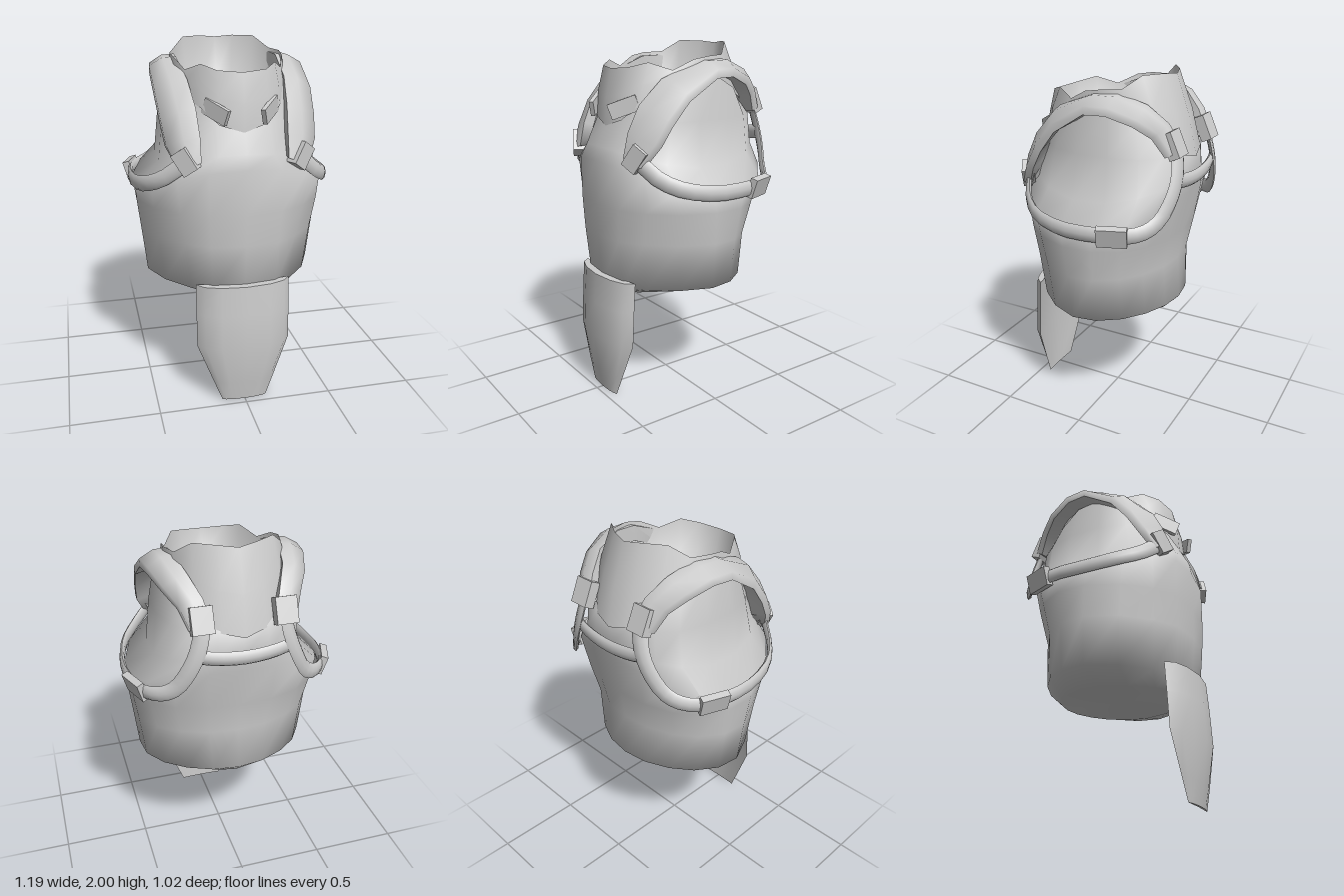
import * as THREE from 'three';
import { toCreasedNormals } from 'three/addons/utils/BufferGeometryUtils.js';

const grey = new THREE.MeshStandardMaterial({ color: 0xcccccc, side: THREE.DoubleSide });
grey.name = 'plain grey';

// Skins a list of equal-length rings; optional centre points close the ends
function loft(rings, startCap, endCap) {
  const n = rings[0].length;
  const points = rings.flat();
  const index = [];
  for (let i = 0; i < rings.length - 1; i++) {
    for (let j = 0; j < n; j++) {
      const a = i * n + j, b = i * n + (j + 1) % n;
      index.push(a, b, b + n, a, b + n, a + n);
    }
  }
  const cap = (centre, base, flip) => {
    const c = points.push(centre) - 1;
    for (let j = 0; j < n; j++) {
      const a = base + j, b = base + (j + 1) % n;
      index.push(c, ...(flip ? [b, a] : [a, b]));
    }
  };
  if (startCap) cap(startCap, 0, true);
  if (endCap) cap(endCap, (rings.length - 1) * n, false);
  const geometry = new THREE.BufferGeometry();
  geometry.setAttribute('position', new THREE.Float32BufferAttribute(points.flat(), 3));
  geometry.setIndex(index);
  return toCreasedNormals(geometry, 1.25);
}

// Completes a half ring that runs from the front centre round +x to the back centre
const mirrorRing = (half) => [
  ...half,
  ...half.slice(1, -1).reverse().map(([x, y, z]) => [-x, y, z]),
];

const mean = (ring) => [0, 1, 2].map((k) => ring.reduce((s, p) => s + p[k], 0) / ring.length);

// Flat rounded strap along a path, lying against the body
function ribbon(path, thickness, width) {
  const curve = new THREE.CatmullRomCurve3(path.map((p) => new THREE.Vector3(...p)));
  const steps = path.length * 2;
  const rings = [];
  for (let i = 0; i <= steps; i++) {
    const p = curve.getPoint(i / steps);
    const t = curve.getTangent(i / steps);
    const out = new THREE.Vector3(p.x, 0, p.z).addScaledVector(t, -(p.x * t.x + p.z * t.z)).normalize();
    const across = t.clone().cross(out);
    rings.push(Array.from({ length: 8 }, (_, j) => {
      const a = j * Math.PI / 4;
      return p.clone().addScaledVector(out, Math.cos(a) * thickness)
        .addScaledVector(across, Math.sin(a) * width).toArray();
    }));
  }
  return loft(rings);
}

export function createModel() {
  const model = new THREE.Group();
  model.name = 'vest';
  const add = (name, geometry) => {
    const mesh = new THREE.Mesh(geometry, grey);
    mesh.name = name;
    model.add(mesh);
    return mesh;
  };

  // Torso: outline blends from a rounder waist to a fuller chest
  const waist = [[0, 1], [.36, .95], [.58, .76], [.84, .44], [1, .06],
    [.97, -.28], [.81, -.58], [.58, -.8], [.3, -.95], [0, -1]];
  const chest = [[0, 1], [.37, .96], [.66, .81], [.88, .53], [1, .13],
    [1, -.3], [.88, -.65], [.67, -.87], [.34, -.98], [0, -1]];
  // [y, halfWidth, front, back, bend, tilt, blend]
  const levels = [
    [.635, .30, .39, .36, 0, -.05, 0],
    [.688, .49, .44, .405, 0, -.03, 0],
    [.95, .52, .465, .39, 0, 0, .2],
    [1.13, .542, .47, .42, 0, 0, .6],
    [1.22, .542, .47, .45, -.7, 0, 1],
    [1.35, .41, .455, .465, -.5, 0, 1],
    [1.6, .385, .38, .455, 0, 0, 1],
    [1.83, .345, .35, .41, 1.2, 0, .6],
  ];
  const torsoRings = levels.map(([y, w, front, back, bend, tilt, blend]) => mirrorRing(
    chest.map(([cx, cz], i) => {
      const x = THREE.MathUtils.lerp(waist[i][0], cx, blend) * w;
      const pz = THREE.MathUtils.lerp(waist[i][1], cz, blend);
      const z = pz * (pz > 0 ? front : back);
      return [x, y - bend * z * z + tilt * z, z];
    })));
  add('torso', loft(torsoRings, [0, .645, 0]));

  // Collar: outer wall up to an uneven rim, then down into a closed bowl
  const base = [[0, 1.56, .4], [.13, 1.6, .38], [.21, 1.68, .32], [.28, 1.72, .2], [.31, 1.76, .05],
    [.32, 1.78, -.08], [.3, 1.76, -.22], [.23, 1.68, -.36], [.12, 1.59, -.45], [0, 1.56, -.475]];
  const rim = [[0, 1.865, .36], [.13, 1.875, .33], [.2, 1.9, .25], [.265, 1.86, .14], [.305, 1.915, .03],
    [.315, 1.93, -.06], [.285, 1.935, -.17], [.21, 2, -.25], [.1, 2, -.32], [0, 1.99, -.35]];
  const middle = base.map((p, i) => p.map((v, k) => (v + rim[i][k]) / 2 * (k === 1 ? 1 : 1.03)));
  const inner = (scale, y) => rim.map((p) => [p[0] * scale, y + (p[1] - 1.9) * .3, p[2] * scale]);
  add('collar', loft(
    [base, middle, rim, inner(.9, 1.72), inner(.55, 1.56)].map(mirrorRing), null, [0, 1.52, 0]));

  // Front flap: a bowed, tapering plate [y, halfWidth, front, edge, back]
  const flapRings = [
    [0, .13, .46, .44, .445],
    [.12, .178, .48, .43, .45],
    [.35, .268, .51, .41, .455],
    [.55, .268, .5, .4, .45],
    [.72, .268, .487, .39, .44],
  ].map(([y, w, front, edge, back]) => mirrorRing([
    [0, y, front], [w * .52, y, front - (front - edge) * .16], [w * .85, y, front - (front - edge) * .5],
    [w, y, edge], [w * .52, y, back - (back - edge) * .3], [0, y, back]]));
  add('frontFlap', loft(flapRings, mean(flapRings[0]), mean(flapRings[4])));

  // Shoulder pad: top inner edge and top outer edge at each station, front to back
  const padStations = [
    [[.235, 1.42, .435], [.35, 1.38, .415]],
    [[.235, 1.55, .405], [.405, 1.5, .35]],
    [[.245, 1.69, .34], [.42, 1.62, .28]],
    [[.265, 1.82, .21], [.432, 1.75, .17]],
    [[.285, 1.91, -.03], [.435, 1.865, -.03]],
    [[.28, 1.915, -.15], [.42, 1.865, -.16]],
    [[.25, 1.865, -.30], [.375, 1.81, -.3]],
    [[.20, 1.77, -.40], [.32, 1.74, -.39]],
    [[.165, 1.65, -.465], [.28, 1.63, -.455]],
  ];
  const armPath = [[.30, 1.43, .405], [.42, 1.325, .335], [.505, 1.27, .23], [.553, 1.24, .05],
    [.553, 1.24, -.15], [.5, 1.24, -.31], [.43, 1.255, -.385], [.36, 1.3, -.43],
    [.3, 1.4, -.465], [.255, 1.5, -.475], [.225, 1.61, -.46], [.22, 1.7, -.43]];

  for (const s of [1, -1]) {
    const side = s > 0 ? 'left' : 'right';
    const rings = padStations.map(([a, b]) => {
      const d = new THREE.Vector3(0, (a[1] + b[1]) / 2 - 1.4, (a[2] + b[2]) / 2).normalize();
      const shift = (p, t) => [p[0] * s, p[1] + d.y * t, p[2] + d.z * t];
      const mid = a.map((v, k) => (v + b[k]) / 2);
      const ring = [shift(a, 0), shift(mid, .02), shift(b, 0), shift(b, -.045), shift(a, -.09)];
      return s > 0 ? ring : ring.reverse();
    });
    add(side + 'ShoulderPad', loft(rings, mean(rings[0]), mean(rings[8])));

    // Strap under and behind the arm opening
    add(side + 'ArmStrap', ribbon(armPath.map(([x, y, z]) => [x * s, y, z]), .016, .043));

    // Buckles and clips
    const box = (name, size, [x, y, z], [rx, ry, rz]) => {
      const mesh = add(side + name, new THREE.BoxGeometry(...size));
      mesh.position.set(x * s, y, z);
      mesh.rotation.set(rx, ry * s, rz * s, 'YXZ');
    };
    box('SideBuckle', [.04, .11, .16], [.535, 1.238, -.245], [0, .35, -.3]);
    box('FrontStrapEnd', [.09, .13, .07], [.31, 1.425, .4], [0, .5, -.6]);
    box('BackBuckle', [.115, .14, .06], [.22, 1.67, -.44], [.42, 0, 0]);
    box('CollarClip', [.025, .085, .16], [.145, 1.67, .37], [.35, -.7, 0]);
  }

  // Strap joining both arm straps across the back
  add('backStrap', ribbon([[.27, 1.49, -.465], [.15, 1.47, -.485], [0, 1.46, -.492],
    [-.15, 1.47, -.485], [-.27, 1.49, -.465]], .018, .04));

  return model;
}
